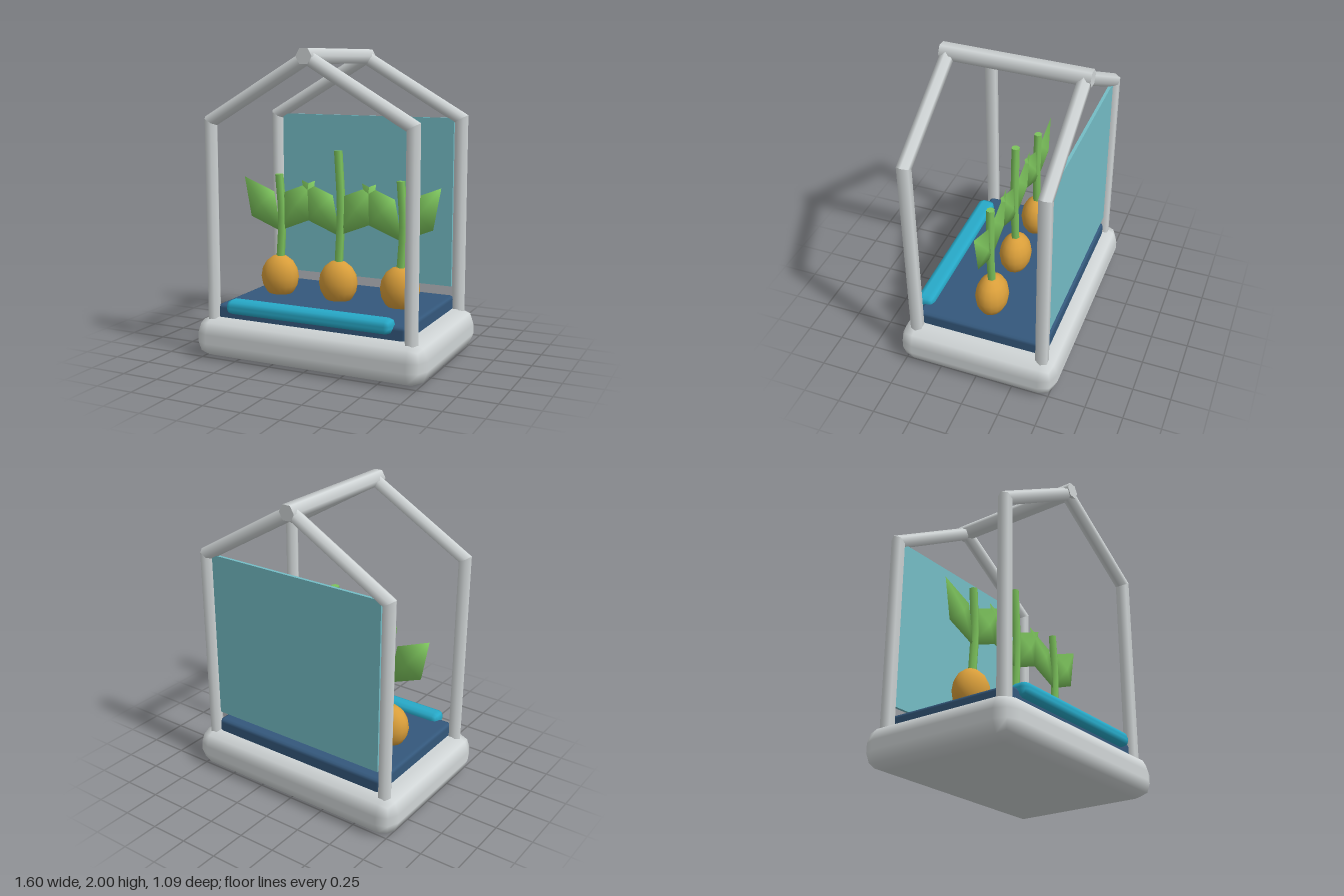
import * as THREE from 'three';
import { RoundedBoxGeometry } from 'three/addons/geometries/RoundedBoxGeometry.js';

const material = (name, color) => {
  const m = new THREE.MeshStandardMaterial({ color });
  m.name = name;
  return m;
};

export function createModel() {
  const frameGrey = material('frame grey', 0xd0d5d6);
  const trayBlue = material('tray blue', 0x34587c);
  const trimCyan = material('trim cyan', 0x27a9c8);
  const panelTeal = material('panel teal', 0x74bcc5);
  const bulbOrange = material('bulb orange', 0xd99e3a);
  const leafGreen = material('leaf green', 0x7cc35c);

  const model = new THREE.Group();
  model.name = 'plantHouse';
  const add = (parent, name, geometry, mat, x = 0, y = 0, z = 0) => {
    const mesh = new THREE.Mesh(geometry, mat);
    mesh.name = name;
    mesh.position.set(x, y, z);
    parent.add(mesh);
    return mesh;
  };

  // Base, growing tray, front trim and back panel
  add(model, 'base', new RoundedBoxGeometry(1.6, 0.27, 1.09, 1, 0.105), frameGrey, 0, 0.135, 0);
  add(model, 'tray', new RoundedBoxGeometry(1.32, 0.11, 0.89, 1, 0.025), trayBlue, 0, 0.3, 0);
  add(model, 'frontTrim', new RoundedBoxGeometry(1.15, 0.095, 0.125, 1, 0.04), trimCyan, 0, 0.35, 0.436);
  add(model, 'backPanel', new THREE.BoxGeometry(1.28, 1.135, 0.02), panelTeal, 0, 0.9825, -0.435);

  // Six-sided bar whose ends are slanted to form mitred joints
  const bar = (radius, length, slantBottom, slantTop) => {
    const geo = new THREE.CylinderGeometry(radius, radius, length, 6).rotateY(Math.PI / 2);
    const pos = geo.attributes.position;
    for (let i = 0; i < pos.count; i++) {
      const y = pos.getY(i);
      pos.setY(i, y + pos.getX(i) * (y > 0 ? slantTop : -slantBottom));
    }
    return geo;
  };

  // Two gable frames, each made of two mirrored halves
  const postX = 0.69, eaveY = 1.545, apexY = 1.945, frameZ = 0.435, footY = 0.25;
  const rise = apexY - eaveY;
  const tilt = Math.atan2(postX, rise);
  const postGeo = bar(0.045, eaveY - footY, 0, Math.tan(tilt / 2));
  const rafterGeo = bar(0.045, Math.hypot(postX, rise), Math.tan(tilt / 2), Math.tan(Math.PI / 2 - tilt));
  for (const z of [-frameZ, frameZ]) {
    for (const turn of [0, Math.PI]) {
      const half = new THREE.Group();
      half.name = 'gableHalf';
      half.position.z = z;
      half.rotation.y = turn;
      add(half, 'post', postGeo, frameGrey, postX, (footY + eaveY) / 2);
      add(half, 'rafter', rafterGeo, frameGrey, postX / 2, (eaveY + apexY) / 2).rotation.z = tilt;
      model.add(half);
    }
  }
  const ridgeGeo = new THREE.CylinderGeometry(0.055, 0.055, 0.96, 6).rotateY(Math.PI / 2).rotateX(Math.PI / 2);
  add(model, 'ridge', ridgeGeo, frameGrey, 0, 1.952, 0);

  // Slanted diamond leaf, thickest in the middle
  const leafGeo = new THREE.SphereGeometry(1, 4, 2).applyMatrix4(new THREE.Matrix4().makeBasis(
    new THREE.Vector3(0.14, 0.18, 0),
    new THREE.Vector3(-0.09, 0.09, 0),
    new THREE.Vector3(0, 0, 0.035),
  ).setPosition(0.13, 0.96, 0));
  const bulbGeo = new THREE.SphereGeometry(1, 16, 8).scale(0.133, 0.15, 0.108);

  // Three plants with bulb, bowed stem and a pair of leaves
  for (const [x, top] of [[-0.44, 1.17], [0, 1.345], [0.44, 1.17]]) {
    const plant = new THREE.Group();
    plant.name = 'plant';
    plant.position.x = x;
    add(plant, 'bulb', bulbGeo, bulbOrange, 0, 0.47, 0);
    const path = new THREE.CatmullRomCurve3([
      new THREE.Vector3(0.003, 0.58, 0),
      new THREE.Vector3(0.02, (0.58 + top) / 2, 0),
      new THREE.Vector3(0, top, 0),
    ]);
    add(plant, 'stem', new THREE.TubeGeometry(path, 6, 0.028, 6), leafGreen);
    // Flat disc closing the stem top
    add(plant, 'stemTop', new THREE.CircleGeometry(0.028, 6).rotateX(-Math.PI / 2), leafGreen, 0, top, 0);
    for (const turn of [0, Math.PI]) add(plant, 'leaf', leafGeo, leafGreen).rotation.y = turn;
    model.add(plant);
  }
  return model;
}
